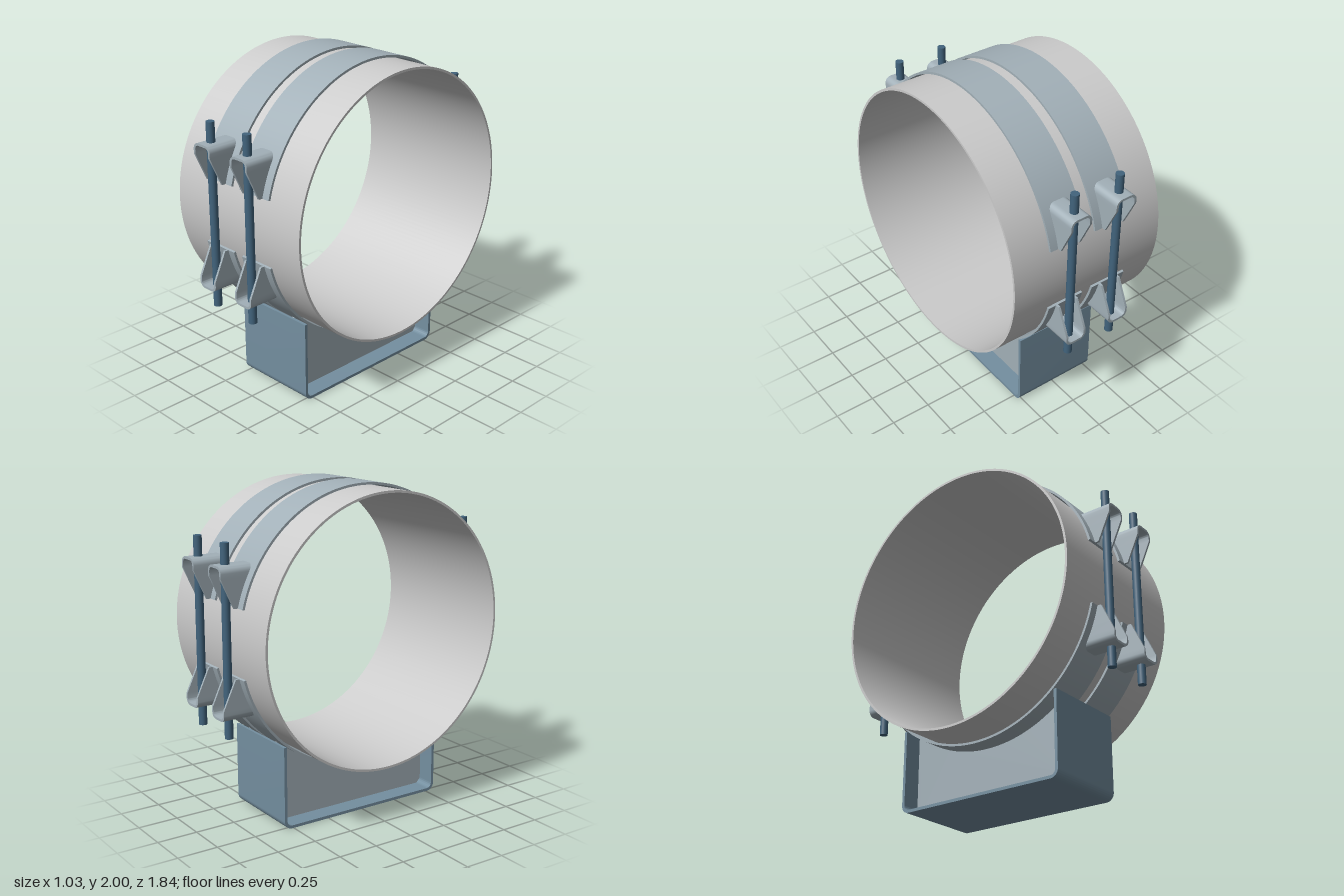
import * as THREE from 'three';
import { toCreasedNormals } from 'three/addons/utils/BufferGeometryUtils.js';

const CY = 1.158;          // height of the pipe axis
const R_BAND = 0.842;      // outer radius of the clamp bands
const mat = (color) => new THREE.MeshStandardMaterial({ color });

// Extrudes a (z, y) outline along x, centred on x
function extrudeX(shape, width, x, segments = 24) {
  const g = new THREE.ExtrudeGeometry(shape, { depth: width, bevelEnabled: false, curveSegments: segments });
  g.translate(0, 0, -width / 2);
  g.rotateY(Math.PI / 2);
  g.translate(x, 0, 0);
  return toCreasedNormals(g, 0.5);
}

// Part of a ring around the pipe axis
function arcShape(ro, ri, a0, a1) {
  const s = new THREE.Shape();
  s.absarc(0, CY, ro, a0, a1, false);
  s.absarc(0, CY, ri, a1, a0, true);
  s.closePath();
  return s;
}

// U-bent lug: a folded strip, trimmed to the pipe inside and tapered outside
function lugGeometry() {
  const w = 0.07, top = 0.442, low = 0.202, knee = 0.375, r = 0.04, t = 0.014;
  const half = [low, 0.26, 0.32, knee].map((y) => [-w, y, -1, 0]);
  for (let i = 0; i <= 8; i++) {
    const a = Math.PI - (i / 8) * Math.PI / 2;
    const nx = Math.cos(a), ny = Math.sin(a);
    half.push([-w + r + r * nx, top - r + r * ny, nx, ny]);
  }
  const path = [...half, ...half.slice().reverse().map(([x, y, nx, ny]) => [-x, y, -nx, ny])];
  const zIn = (y) => Math.sqrt(0.838 ** 2 - y * y);
  const zOut = (y) => (y > knee ? 0.92 : 0.84 + 0.08 * (y - low) / (knee - low));
  const pos = [], idx = [];
  path.forEach(([x, y, nx, ny], i) => {
    const xi = x - nx * t, yi = y - ny * t;
    pos.push(x, y, zIn(y), x, y, zOut(y), xi, yi, zOut(yi), xi, yi, zIn(yi));
    if (i === path.length - 1) return;
    for (let k = 0; k < 4; k++) {
      const a = i * 4 + k, b = i * 4 + (k + 1) % 4;
      idx.push(a, b, b + 4, a, b + 4, a + 4);
    }
  });
  const e = (path.length - 1) * 4;
  idx.push(0, 2, 1, 0, 3, 2, e, e + 1, e + 2, e, e + 2, e + 3);
  const g = new THREE.BufferGeometry();
  g.setAttribute('position', new THREE.Float32BufferAttribute(pos, 3));
  g.setIndex(idx);
  return toCreasedNormals(g, 0.6);
}

// Outline of the U channel base with rounded lower corners
function channelShape() {
  const w = 0.56, h = 0.51, r = 0.05, t = 0.018;
  const s = new THREE.Shape();
  s.moveTo(-w, h);
  s.lineTo(-w, r);
  s.absarc(-w + r, r, r, Math.PI, 1.5 * Math.PI, false);
  s.absarc(w - r, r, r, -Math.PI / 2, 0, false);
  s.lineTo(w, h);
  s.lineTo(w - t, h);
  s.absarc(w - r, r, r - t, 0, -Math.PI / 2, true);
  s.absarc(-w + r, r, r - t, 1.5 * Math.PI, Math.PI, true);
  s.lineTo(-w + t, h);
  s.closePath();
  return s;
}

// Web plate with a circular seat for the bands
function webShape() {
  const a = Math.asin((0.51 - CY) / R_BAND);
  const s = new THREE.Shape();
  s.moveTo(-0.545, 0.05);
  s.lineTo(-0.51, 0.012);
  s.lineTo(0.51, 0.012);
  s.lineTo(0.545, 0.05);
  s.lineTo(0.545, 0.51);
  s.absarc(0, CY, R_BAND, a, -Math.PI - a, true);
  s.lineTo(-0.545, 0.51);
  s.closePath();
  return s;
}

export function createModel() {
  const model = new THREE.Group();
  const grey = mat(0xcccccc), bandMat = mat(0xa2b0b8), baseMat = mat(0x748fa0), rodMat = mat(0x42647d);
  const add = (parent, name, geometry, material) => {
    const m = new THREE.Mesh(geometry, material);
    m.name = name;
    parent.add(m);
    return m;
  };

  // Pipe sleeve
  const ring = new THREE.Shape().absarc(0, CY, 0.82, 0, Math.PI * 2, false);
  ring.holes.push(new THREE.Path().absarc(0, CY, 0.806, 0, Math.PI * 2, true));
  add(model, 'pipeSleeve', extrudeX(ring, 1.03, 0, 96), grey);

  // Base channel
  add(model, 'baseChannel', extrudeX(channelShape(), 0.545, 0, 10), baseMat);

  const lug = lugGeometry();
  const rod = new THREE.CylinderGeometry(0.025, 0.025, 1.125, 20);
  const end = Math.asin(0.202 / R_BAND);

  for (const side of [-1, 1]) {
    const x = side * 0.155;

    // Upper and lower clamp bands and the web below them
    add(model, 'upperBand', extrudeX(arcShape(R_BAND, 0.828, end, Math.PI - end), 0.24, x, 64), bandMat);
    add(model, 'lowerBand', extrudeX(arcShape(R_BAND, 0.828, Math.PI + end, 2 * Math.PI - end), 0.24, x, 64), bandMat);
    add(model, 'webPlate', extrudeX(webShape(), 0.018, side * 0.15, 48), bandMat);

    // Lugs and threaded rod, front and back
    for (const turn of [0, Math.PI]) {
      const clamp = new THREE.Group();
      clamp.name = turn ? 'backClamp' : 'frontClamp';
      clamp.position.set(x, CY, 0);
      clamp.rotation.y = turn;
      add(clamp, 'upperLug', lug, bandMat);
      add(clamp, 'lowerLug', lug, bandMat).rotation.z = Math.PI;
      add(clamp, 'tieRod', rod, rodMat).position.z = 0.853;
      model.add(clamp);
    }
  }
  return model;
}
